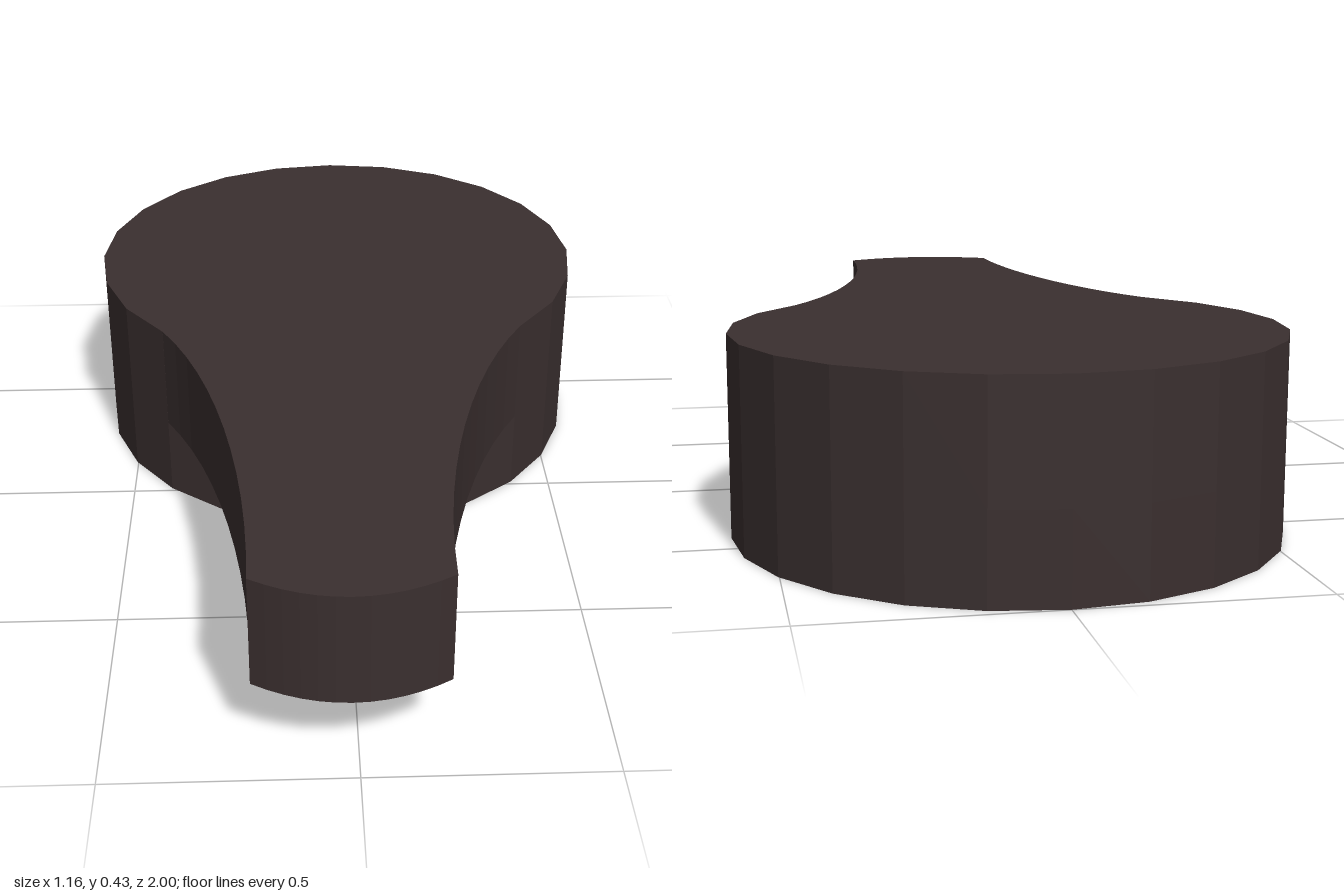
import * as THREE from 'three';

const RADIUS = 0.58, CENTRE_Z = -0.42, SIDES = 24;
const TOP = 0.427, STEP = 0.185;

// Points of the 24-sided disc from one segment index to another (x, z)
function discPoints(from, to) {
  const points = [];
  for (let i = from; i <= to; i++) {
    const a = (i / SIDES) * Math.PI * 2;
    points.push(new THREE.Vector2(RADIUS * Math.cos(a), CENTRE_Z + RADIUS * Math.sin(a)));
  }
  return points;
}

// Extrudes an outline drawn in x and z downwards from the given top height
function slab(name, outline, top, height, material) {
  const geometry = new THREE.ExtrudeGeometry(outline, { depth: height, bevelEnabled: false, curveSegments: 12 });
  geometry.rotateX(Math.PI / 2).translate(0, top, 0);
  const mesh = new THREE.Mesh(geometry, material);
  mesh.name = name;
  return mesh;
}

export function createModel() {
  const group = new THREE.Group();
  group.name = 'leverKnob';
  const material = new THREE.MeshStandardMaterial({ color: 0x3a2f2f, flatShading: true });

  // Round base under the lever
  group.add(slab('roundBase', new THREE.Shape(discPoints(0, SIDES - 1)), STEP, STEP, material));

  // Round head flowing through concave flanks into the handle with a curved tip
  const lever = new THREE.Shape(discPoints(9, 27));
  lever.bezierCurveTo(0.27, 0.21, 0.175, 0.6, 0.175, 0.94);
  lever.quadraticCurveTo(-0.015, 1.06, -0.205, 0.94);
  lever.bezierCurveTo(-0.205, 0.6, -0.28, 0.21, -0.41, -0.01);
  group.add(slab('leverHandle', lever, TOP, TOP - STEP, material));

  return group;
}
